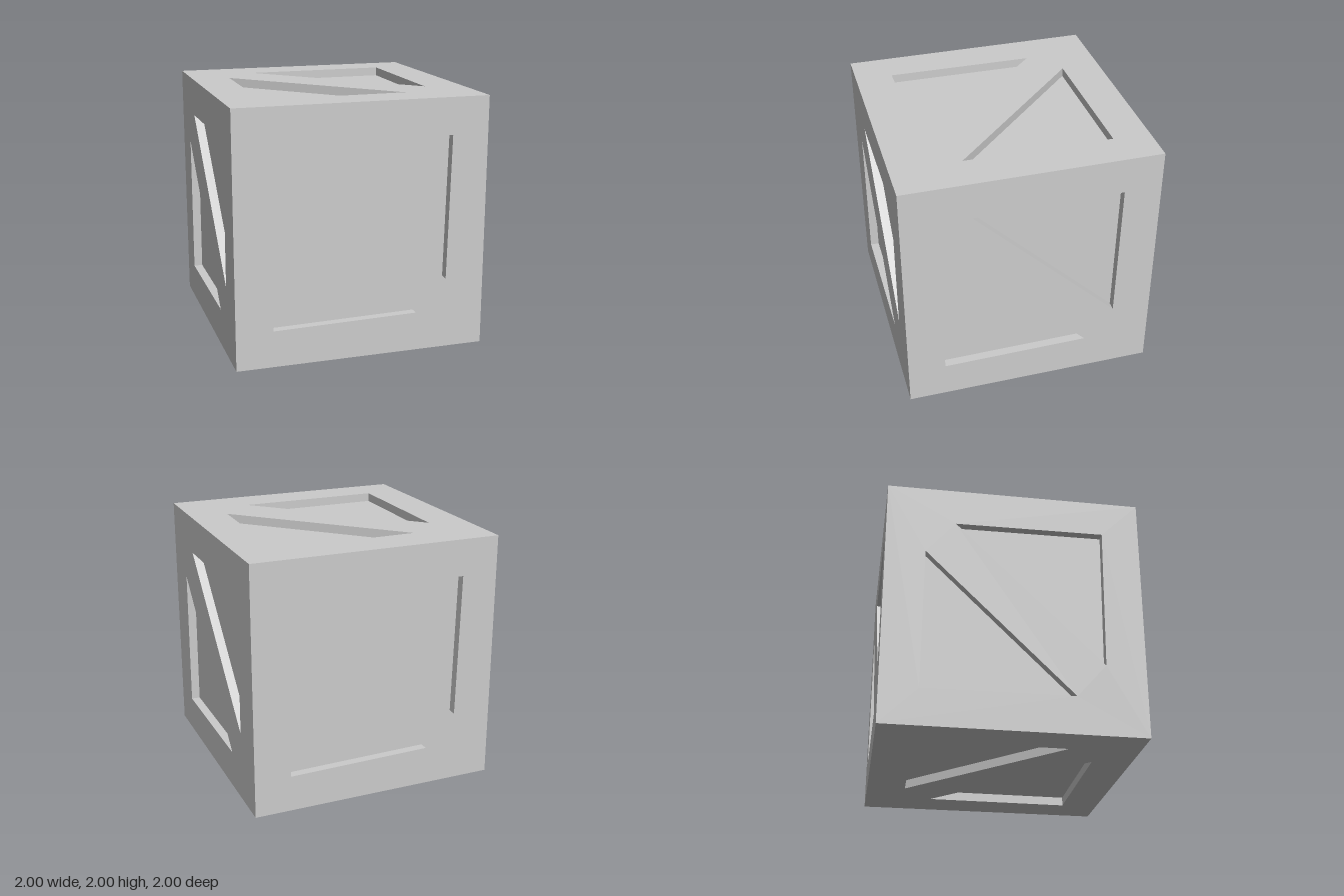
import * as THREE from 'three';

const DEPTH = 0.07;
const material = new THREE.MeshStandardMaterial({ color: 0xcccccc, flatShading: true });

// Slightly uneven upper recess outlines, counter-clockwise
const FRONT = [[-0.44, 0.69], [0.685, -0.435], [0.71, 0.71]];
const SIDE = [[-0.46, 0.7], [0.69, -0.435], [0.705, 0.71]];
const TOP = [[-0.44, 0.69], [0.695, -0.455], [0.705, 0.705]];

function addMesh(group, name, geometry) {
  const mesh = new THREE.Mesh(geometry, material);
  mesh.name = name;
  group.add(mesh);
  return mesh;
}

// Inward-facing walls running from the rim down to the recess floor
function recessWalls(points) {
  const positions = [];
  points.forEach((a, i) => {
    const b = points[(i + 1) % points.length];
    const quad = [[a.x, a.y, 0], [b.x, b.y, 0], [b.x, b.y, -DEPTH], [a.x, a.y, -DEPTH]];
    for (const k of [0, 1, 2, 0, 2, 3]) positions.push(...quad[k]);
  });
  const geometry = new THREE.BufferGeometry();
  geometry.setAttribute('position', new THREE.Float32BufferAttribute(positions, 3));
  geometry.computeVertexNormals();
  return geometry;
}

// One side of the crate: a frame with a diagonal brace between two recesses
function cratePanel(name, outline) {
  const panel = new THREE.Group();
  panel.name = name;
  const frame = new THREE.Shape([[-1, -1], [1, -1], [1, 1], [-1, 1]].map(p => new THREE.Vector2(...p)));
  for (const [label, sign] of [['upper', 1], ['lower', -1]]) {
    const points = outline.map(([u, v]) => new THREE.Vector2(u * sign, v * sign));
    frame.holes.push(new THREE.Path(points));
    addMesh(panel, label + 'RecessWalls', recessWalls(points));
    addMesh(panel, label + 'RecessFloor', new THREE.ShapeGeometry(new THREE.Shape(points))).position.z = -DEPTH;
  }
  addMesh(panel, 'bracedFrame', new THREE.ShapeGeometry(frame));
  return panel;
}

export function createModel() {
  const crate = new THREE.Group();
  crate.name = 'crate';
  const q = Math.PI / 2;
  // name, recess outline, rotation about x, rotation about y
  const sides = [
    ['frontPanel', FRONT, 0, 0],
    ['backPanel', FRONT, 0, 2 * q],
    ['leftPanel', SIDE, 0, q],
    ['rightPanel', SIDE, 0, -q],
    ['topPanel', TOP, -q, 0],
    ['bottomPanel', TOP, q, 0],
  ];
  for (const [name, outline, rx, ry] of sides) {
    const panel = cratePanel(name, outline);
    panel.rotation.set(rx, ry, 0);
    panel.position.set(0, 0, 1).applyEuler(panel.rotation);
    panel.position.y += 1;
    crate.add(panel);
  }
  return crate;
}
